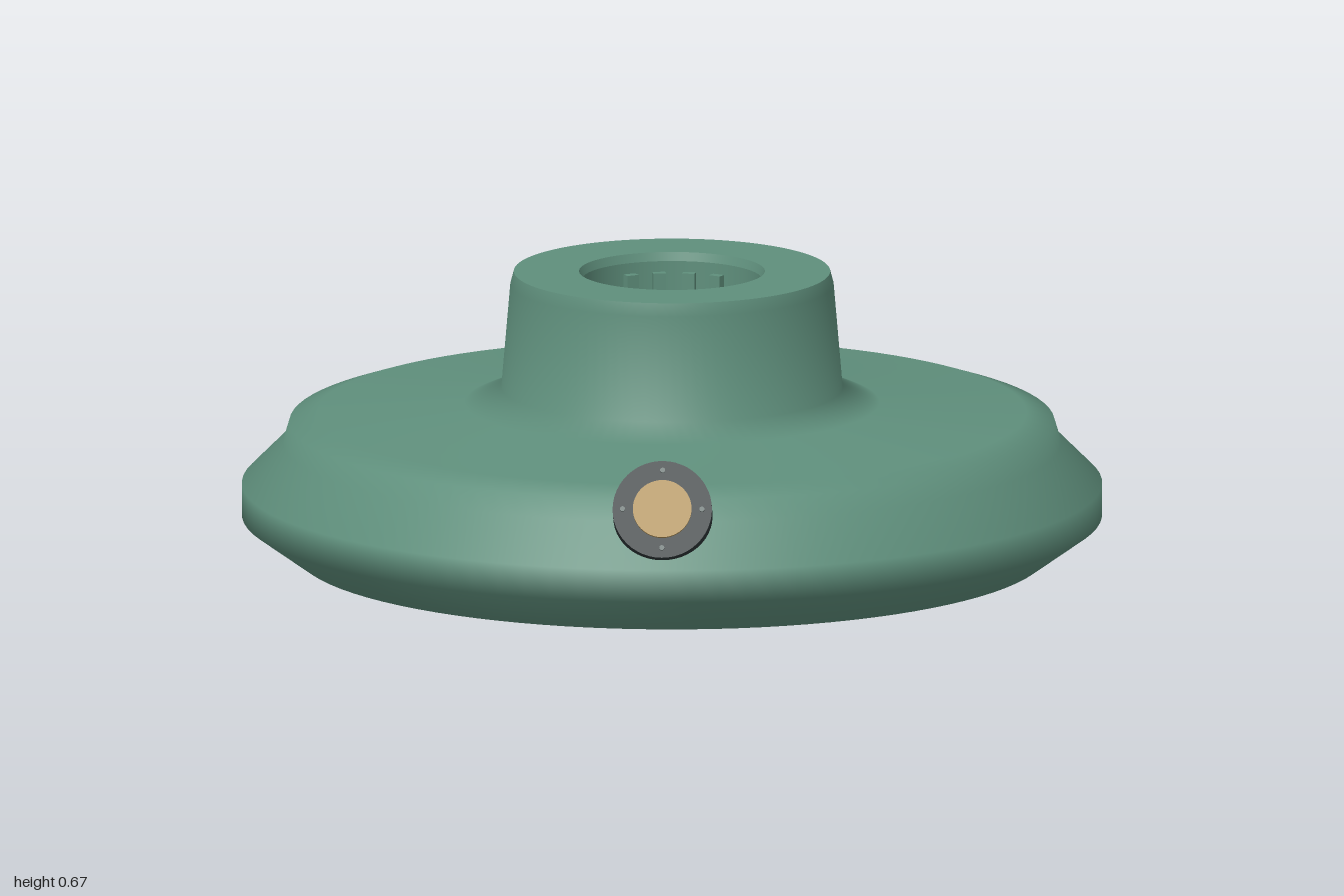
import * as THREE from 'three';

const green = new THREE.MeshStandardMaterial({ name: 'green shell', color: 0x5f8f7c });
const dark = new THREE.MeshStandardMaterial({ name: 'dark casing', color: 0x2f3739 });
const gold = new THREE.MeshStandardMaterial({ name: 'gold lens', color: 0xb5965a });
const grey = new THREE.MeshStandardMaterial({ name: 'grey screw', color: 0x707c7a });

function add(parent, name, geometry, material) {
  const mesh = new THREE.Mesh(geometry, material);
  mesh.name = name;
  parent.add(mesh);
  return mesh;
}

function lathe(profile) {
  return new THREE.LatheGeometry(profile.map(([r, y]) => new THREE.Vector2(r, y)), 96);
}

export function createModel() {
  const model = new THREE.Group();
  model.name = 'roundBase';
  const body = new THREE.Group();
  body.name = 'body';
  body.position.z = -0.005;
  model.add(body);

  // Turned shell, split where the edges are sharp
  add(body, 'underside', lathe([[0.22, 0], [0.87, 0]]), green);
  add(body, 'outerShell', lathe([
    [0.87, 0], [0.995, 0.09], [0.995, 0.165], [0.9, 0.26], [0.885, 0.31],
    [0.82, 0.332], [0.48, 0.355], [0.395, 0.39], [0.374, 0.635], [0.366, 0.665],
  ]), green);
  add(body, 'collarTop', lathe([[0.366, 0.665], [0.215, 0.665]]), green);
  add(body, 'boreChamfer', lathe([[0.215, 0.665], [0.208, 0.645]]), green);
  add(body, 'boreWall', lathe([[0.208, 0.645], [0.208, 0.01]]), green);

  // Dark floor closing the bore
  const floor = add(body, 'boreFloor', new THREE.CylinderGeometry(0.22, 0.22, 0.03, 64), dark);
  floor.position.y = 0.015;

  // Key ribs on the rear wall of the bore
  for (const degrees of [-30, -10, 10, 30]) {
    const a = THREE.MathUtils.degToRad(degrees);
    const rib = add(body, 'boreRib', new THREE.BoxGeometry(0.03, 0.59, 0.025), green);
    rib.position.set(Math.sin(a) * 0.2, 0.325, -Math.cos(a) * 0.2);
    rib.rotation.y = -a;
  }

  // Tilted sensor: local +y is its viewing axis
  const sensor = new THREE.Group();
  sensor.name = 'sensor';
  sensor.position.set(0, 0.3, 0.943);
  sensor.rotation.x = THREE.MathUtils.degToRad(65);
  model.add(sensor);
  const casing = add(sensor, 'sensorCasing', new THREE.CylinderGeometry(0.115, 0.115, 0.25, 48), dark);
  casing.position.y = -0.125;
  const lens = add(sensor, 'sensorLens', new THREE.CylinderGeometry(0.068, 0.068, 0.008, 48), gold);
  lens.position.y = 0.004;
  for (let i = 0; i < 4; i++) {
    const a = i * Math.PI / 2;
    const screw = add(sensor, 'sensorScrew', new THREE.CylinderGeometry(0.006, 0.006, 0.006, 12), grey);
    screw.position.set(Math.cos(a) * 0.092, 0.003, Math.sin(a) * 0.092);
  }
  return model;
}
